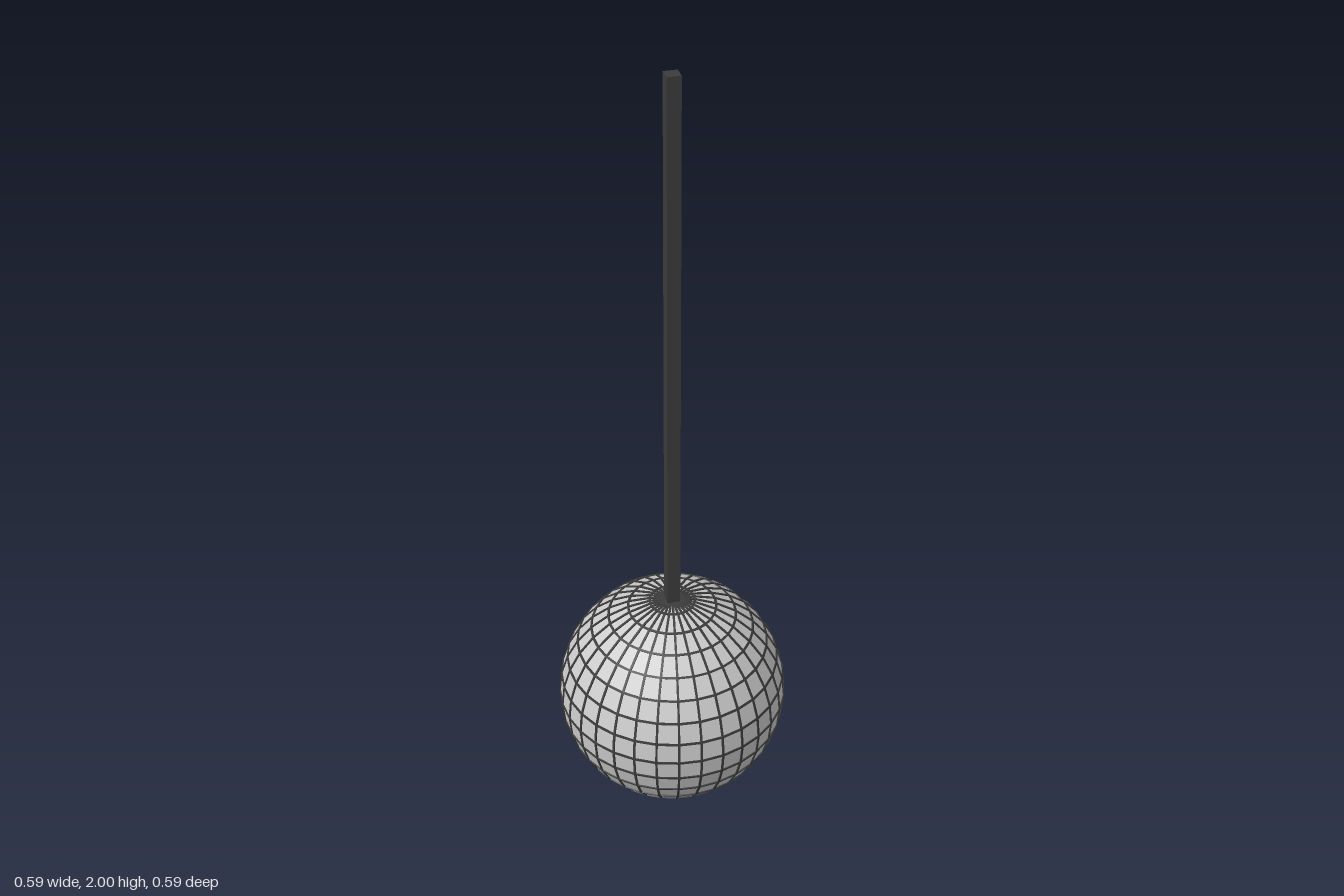
import * as THREE from 'three';

const RADIUS = 0.29, HALF = 0.0028, SIDES = 32, BANDS = 16;
const CENTRE = RADIUS + HALF;
const ROD_WIDTH = 0.033;

export function createModel() {
  const model = new THREE.Group();
  const pale = new THREE.MeshStandardMaterial({ color: 0xcccccc, flatShading: true });
  const dark = new THREE.MeshStandardMaterial({ color: 0x3c3c3c, flatShading: true });

  const add = (parent, name, geometry, material) => {
    const mesh = new THREE.Mesh(geometry, material);
    mesh.name = name;
    parent.add(mesh);
    return mesh;
  };

  // Square wire bent into a ring on the ball, at a polar angle from its axis
  const wireRing = (polar) => {
    const s = Math.sin(polar), c = Math.cos(polar);
    const corners = [[-1, -1], [1, -1], [1, 1], [-1, 1], [-1, -1]];
    const profile = corners.map(([out, up]) => new THREE.Vector2(
      (RADIUS + out * HALF) * s - up * HALF * c,
      (RADIUS + out * HALF) * c + up * HALF * s));
    return new THREE.LatheGeometry(profile, SIDES);
  };

  // Faceted ball
  add(model, 'ball', new THREE.SphereGeometry(RADIUS, SIDES, BANDS), pale).position.y = CENTRE;

  // Wire cage along the ball's edges
  const cage = new THREE.Group();
  cage.name = 'wireCage';
  cage.position.y = CENTRE;
  model.add(cage);
  for (let i = 1; i < BANDS; i++) {
    add(cage, 'latitudeWire', wireRing((i * Math.PI) / BANDS), dark);
  }
  const upright = wireRing(Math.PI / 2).rotateX(Math.PI / 2);
  for (let i = 0; i < SIDES / 2; i++) {
    add(cage, 'meridianWire', upright, dark).rotation.y = (i * 2 * Math.PI) / SIDES;
  }

  // Square hanging rod, sunk slightly into the ball
  const bottom = 2 * CENTRE - 0.02;
  add(model, 'rod', new THREE.BoxGeometry(ROD_WIDTH, 2 - bottom, ROD_WIDTH), dark)
    .position.y = (2 + bottom) / 2;

  return model;
}
